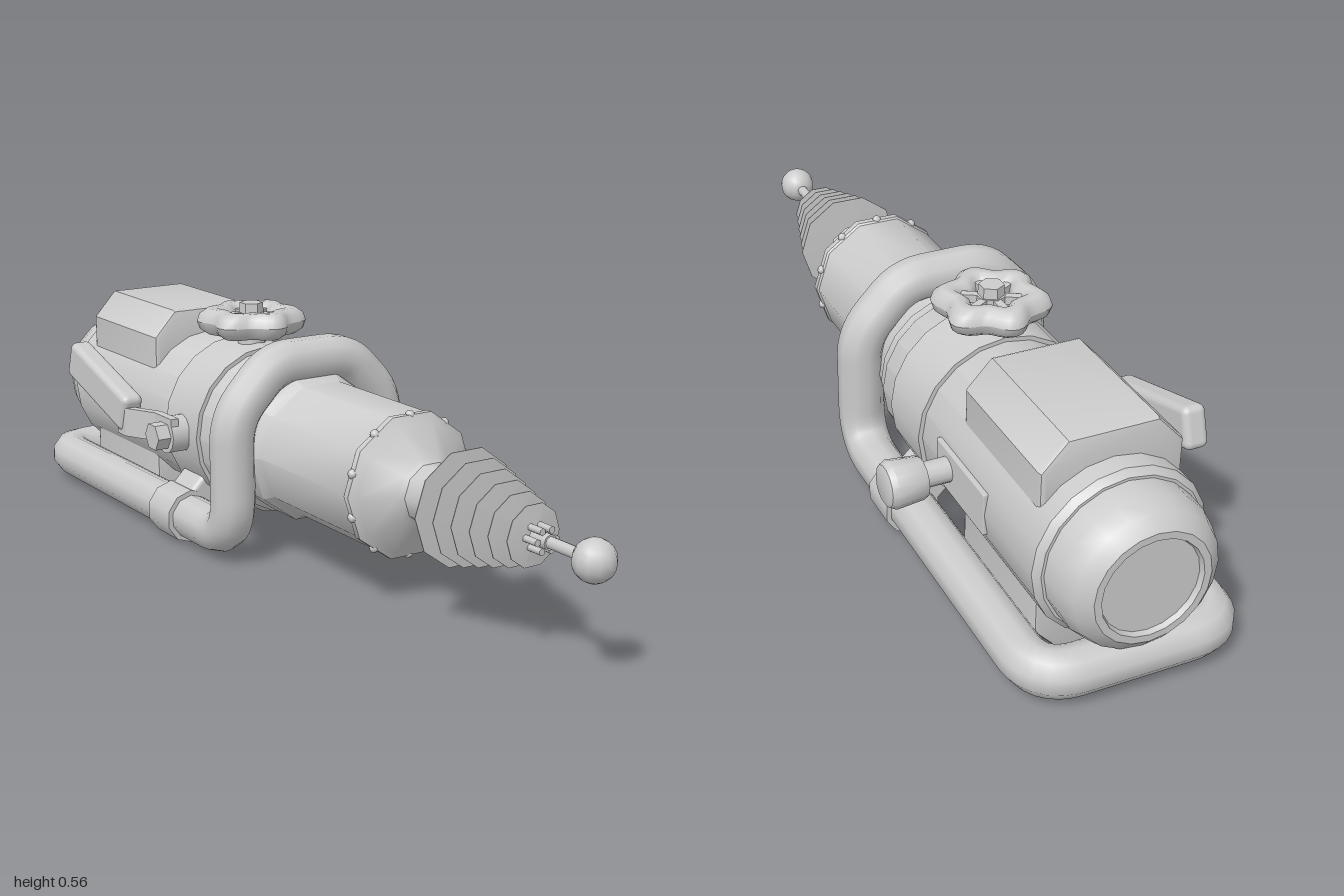
import * as THREE from 'three';
import { toCreasedNormals } from 'three/addons/utils/BufferGeometryUtils.js';
import { RoundedBoxGeometry } from 'three/addons/geometries/RoundedBoxGeometry.js';

const V = (x, y, z) => new THREE.Vector3(x, y, z);

// Closed path through corner points, each corner rounded by its own cut length
function roundedLoop(corners) {
  const n = corners.length, path = new THREE.CurvePath();
  const cut = (i, j) => {
    const a = corners[i], b = corners[j];
    return a.p.clone().add(b.p.clone().sub(a.p).setLength(a.r));
  };
  for (let i = 0; i < n; i++) {
    const prev = (i + n - 1) % n, next = (i + 1) % n;
    const out = cut(i, next);
    path.add(new THREE.QuadraticBezierCurve3(cut(i, prev), corners[i].p, out));
    path.add(new THREE.LineCurve3(out, cut(next, i)));
  }
  return path;
}

export function createModel() {
  const model = new THREE.Group();
  model.name = 'handheldTool';
  const mat = new THREE.MeshStandardMaterial({ color: 0xcccccc, side: THREE.DoubleSide });

  // Everything is placed relative to the long axis of the tool
  const tool = new THREE.Group();
  tool.name = 'tool';
  tool.position.set(-0.027, 0.267, 0);
  model.add(tool);

  const add = (name, geo, x = 0, y = 0, z = 0, parent = tool) => {
    const m = new THREE.Mesh(geo, mat);
    m.name = name;
    m.position.set(x, y, z);
    parent.add(m);
    return m;
  };
  // Turned part along z; profile points are [radius, z] from back to front
  const turned = (name, pts, sides) => {
    const g = new THREE.LatheGeometry(pts.map(([r, z]) => new THREE.Vector2(r, z)), sides);
    g.rotateX(Math.PI / 2).rotateZ(Math.PI / 2);
    return add(name, toCreasedNormals(g, 0.65));
  };
  const rod = (name, r, z0, z1, sides, x = 0, y = 0) =>
    add(name, new THREE.CylinderGeometry(r, r, z1 - z0, sides).rotateX(Math.PI / 2), x, y, (z0 + z1) / 2);

  // Main housing, band, rear cap
  turned('housing', [[0, -0.885], [0.18, -0.885], [0.193, -0.87], [0.193, -0.135], [0.183, -0.12],
    [0.183, -0.1], [0.17, -0.085], [0, -0.085]], 20);
  turned('band', [[0.19, -0.355], [0.203, -0.355], [0.203, -0.205], [0.19, -0.205]], 20);
  turned('rearCap', [[0, -0.988], [0.108, -0.988], [0.112, -1], [0.128, -1], [0.158, -0.975],
    [0.172, -0.935], [0.174, -0.88]], 20);

  // Barrel with nose cone and collar
  turned('barrel', [[0, -0.1], [0.178, -0.1], [0.178, 0], [0.162, 0.025], [0.162, 0.355], [0.166, 0.36],
    [0.166, 0.375], [0.15, 0.385], [0.078, 0.435], [0.069, 0.445], [0.069, 0.525], [0, 0.525]], 10);
  for (let i = 0; i < 10; i++) {
    const a = Math.PI / 2 + i * Math.PI / 5;
    add('rivet', new THREE.SphereGeometry(0.011, 8, 6), Math.cos(a) * 0.156, Math.sin(a) * 0.156, 0.367);
  }

  // Spindle: bundle of rods, tapering fins, tip and ball
  rod('spindleCore', 0.017, 0.5, 0.83, 8);
  for (let i = 0; i < 6; i++) {
    const a = i * Math.PI / 3;
    rod('spindleRod', 0.008, 0.5, 0.82, 6, Math.cos(a) * 0.024, Math.sin(a) * 0.024);
  }
  for (let i = 0; i < 6; i++) {
    const z = 0.563 + i * 0.043, r = 0.13 - i * 0.0125;
    turned('fin', [[0.014, z - 0.007], [r, z - 0.001], [r, z + 0.001], [0.014, z + 0.007]], 10);
  }
  rod('tipRod', 0.013, 0.8, 0.93, 8);
  add('tipBall', new THREE.SphereGeometry(0.045, 12, 10), 0, 0, 0.955);

  // Chamfered boxes above and below the rear of the housing
  const w = 0.157, top = 0.253, c = 0.055, b = 0.012;
  const outline = new THREE.Shape([[-w, 0.08], [w, 0.08], [w, top - c], [w - c, top], [-w + c, top], [-w, top - c]]
    .map(([x, y]) => new THREE.Vector2(x * (1 - b / w), y - Math.sign(y - 0.1) * b)));
  const boxGeo = toCreasedNormals(new THREE.ExtrudeGeometry(outline, {
    depth: 0.341 - 2 * b, bevelThickness: b, bevelSize: b, bevelSegments: 2,
  }), 0.5);
  add('topBox', boxGeo, 0, 0, -0.826 + b);
  add('bellyBox', boxGeo, 0, 0, -0.826 + b).rotation.z = Math.PI;

  // Tubular frame: front hoop, two runners and rear bar in one loop
  const px = 0.206, low = -0.196, hz = -0.032, bz = -0.946;
  const half = [
    { p: V(0.1, 0.203, hz), r: 0.05 }, { p: V(px, 0.09, hz), r: 0.055 },
    { p: V(px, low, hz), r: 0.1 }, { p: V(px, low, bz), r: 0.085 },
  ];
  const mirrored = half.map(({ p, r }) => ({ p: V(-p.x, p.y, p.z), r })).reverse();
  add('frame', new THREE.TubeGeometry(roundedLoop([...half, ...mirrored]), 180, 0.053, 10, true));

  // Clamps holding the runners to the band
  for (const s of [1, -1]) {
    rod('clamp', 0.065, -0.33, -0.23, 10, s * px, low);
    const strap = add('clampStrap', new RoundedBoxGeometry(0.16, 0.085, 0.1, 2, 0.012), s * 0.155, low + 0.05, -0.28);
    strap.rotation.z = -s * Math.PI / 4;
  }

  // Lobed hand wheel on top
  const wheel = new THREE.Group();
  wheel.name = 'handWheel';
  wheel.position.set(0, 0.253, -0.282);
  tool.add(wheel);
  const rim = new THREE.TorusGeometry(0.086, 0.033, 10, 48);
  const p = rim.attributes.position;
  for (let i = 0; i < p.count; i++) {
    const k = 1 - 0.11 * Math.cos(6 * Math.atan2(p.getY(i), p.getX(i)));
    p.setXY(i, p.getX(i) * k, p.getY(i) * k);
  }
  rim.rotateX(Math.PI / 2);
  rim.computeVertexNormals();
  add('wheelRim', rim, 0, 0, 0, wheel);
  for (let i = 0; i < 3; i++) {
    add('wheelSpoke', new THREE.BoxGeometry(0.15, 0.018, 0.018), 0, 0.01, 0, wheel).rotation.y = i * Math.PI / 3 + Math.PI / 2;
  }
  add('wheelStem', new THREE.CylinderGeometry(0.032, 0.036, 0.11, 10), 0, -0.035, 0, wheel);
  add('wheelNut', toCreasedNormals(new THREE.CylinderGeometry(0.028, 0.03, 0.03, 6), 0.4), 0, 0.029, 0, wheel);

  // Side plate and knob on the left
  add('sidePlate', new RoundedBoxGeometry(0.05, 0.1, 0.23, 1, 0.004), 0.171, 0, -0.548);
  add('knobStem', new THREE.CylinderGeometry(0.028, 0.028, 0.1, 12).rotateZ(Math.PI / 2), 0.22, 0.005, -0.49);
  const knob = new THREE.LatheGeometry([[0, 0], [0.044, 0], [0.047, 0.006], [0.053, 0.07], [0.046, 0.083], [0.038, 0.087], [0, 0.087]]
    .map(([r, y]) => new THREE.Vector2(r, y)), 14);
  add('knob', toCreasedNormals(knob.rotateZ(-Math.PI / 2), 0.6), 0.254, 0.002, -0.49);

  // Lever on the right: pivot, nut, bent arm and grip
  add('leverPivot', new THREE.CylinderGeometry(0.045, 0.045, 0.07, 12).rotateZ(Math.PI / 2), -0.21, 0, -0.285);
  add('leverNut', toCreasedNormals(new THREE.CylinderGeometry(0.034, 0.034, 0.045, 6).rotateZ(Math.PI / 2), 0.4), -0.256, 0, -0.285);
  const armShape = new THREE.Shape([[-0.225, 0.25], [-0.245, 0.25], [-0.245, 0.33], [-0.285, 0.41], [-0.285, 0.45],
    [-0.262, 0.45], [-0.262, 0.41], [-0.225, 0.335]].map(([x, z]) => new THREE.Vector2(x, z)));
  const arm = new THREE.ExtrudeGeometry(armShape, { depth: 0.07, bevelEnabled: false });
  arm.rotateX(-Math.PI / 2);
  add('leverArm', arm, 0, -0.025, 0);
  const grip = add('leverGrip', new RoundedBoxGeometry(0.055, 0.095, 0.31, 3, 0.016), -0.264, 0.07, -0.56);
  grip.rotation.x = 0.3;

  return model;
}
